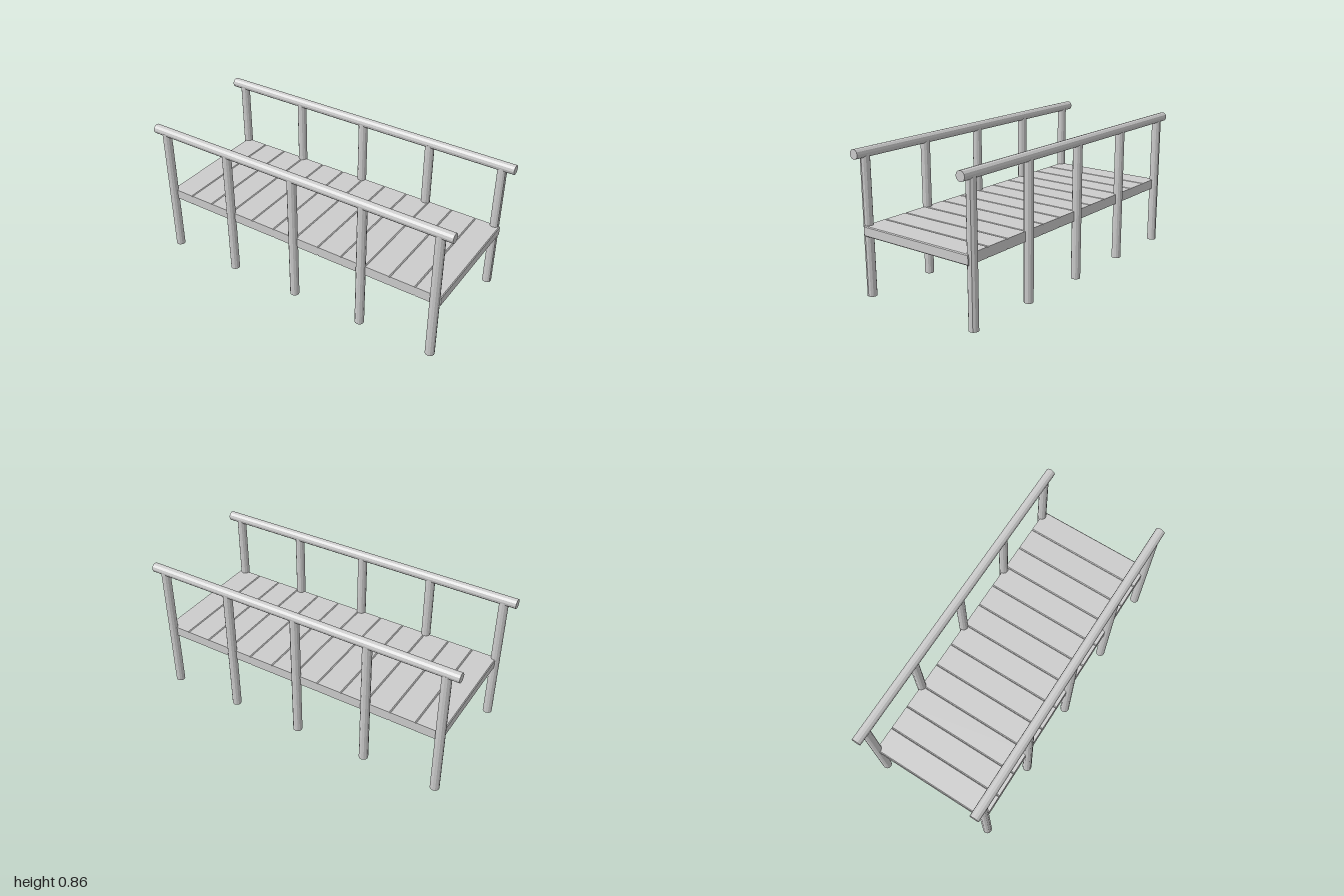
import * as THREE from 'three';

const material = new THREE.MeshStandardMaterial({ color: 0xcccccc, flatShading: true });

export function createModel() {
  const bridge = new THREE.Group();
  bridge.name = 'footbridge';
  const add = (geometry, name, x, y, z) => {
    const mesh = new THREE.Mesh(geometry, material);
    mesh.name = name;
    mesh.position.set(x, y, z);
    bridge.add(mesh);
    return mesh;
  };

  // Deck: planks laid across the bridge, long edges chamfered
  const count = 12, pitch = 0.1573, start = -0.93;
  const w = pitch / 2, h = 0.03, c = 0.005, length = 0.76;
  const section = new THREE.Shape([
    [-w + c, -h], [w - c, -h], [w, -h + c], [w, h - c],
    [w - c, h], [-w + c, h], [-w, h - c], [-w, -h + c],
  ].map(([x, y]) => new THREE.Vector2(x, y)));
  const plank = new THREE.ExtrudeGeometry(section, { depth: length, bevelEnabled: false });
  plank.translate(0, 0, -length / 2);
  for (let i = 0; i < count; i++) {
    add(plank, 'plank', start + pitch * (i + 0.5), 0.39, 0);
  }

  // Round posts and a slightly sloping handrail along each side
  const post = new THREE.CylinderGeometry(0.028, 0.028, 0.825, 12);
  const rail = new THREE.CylinderGeometry(0.029, 0.029, 2, 12);
  rail.rotateZ(Math.PI / 2);
  for (const side of [1, -1]) {
    const z = side * 0.38;
    for (let i = -2; i <= 2; i++) add(post, 'post', i * 0.461, 0.4125, z);
    add(rail, 'handrail', 0, 0.831, z).rotation.z = -0.002;
  }
  return bridge;
}
